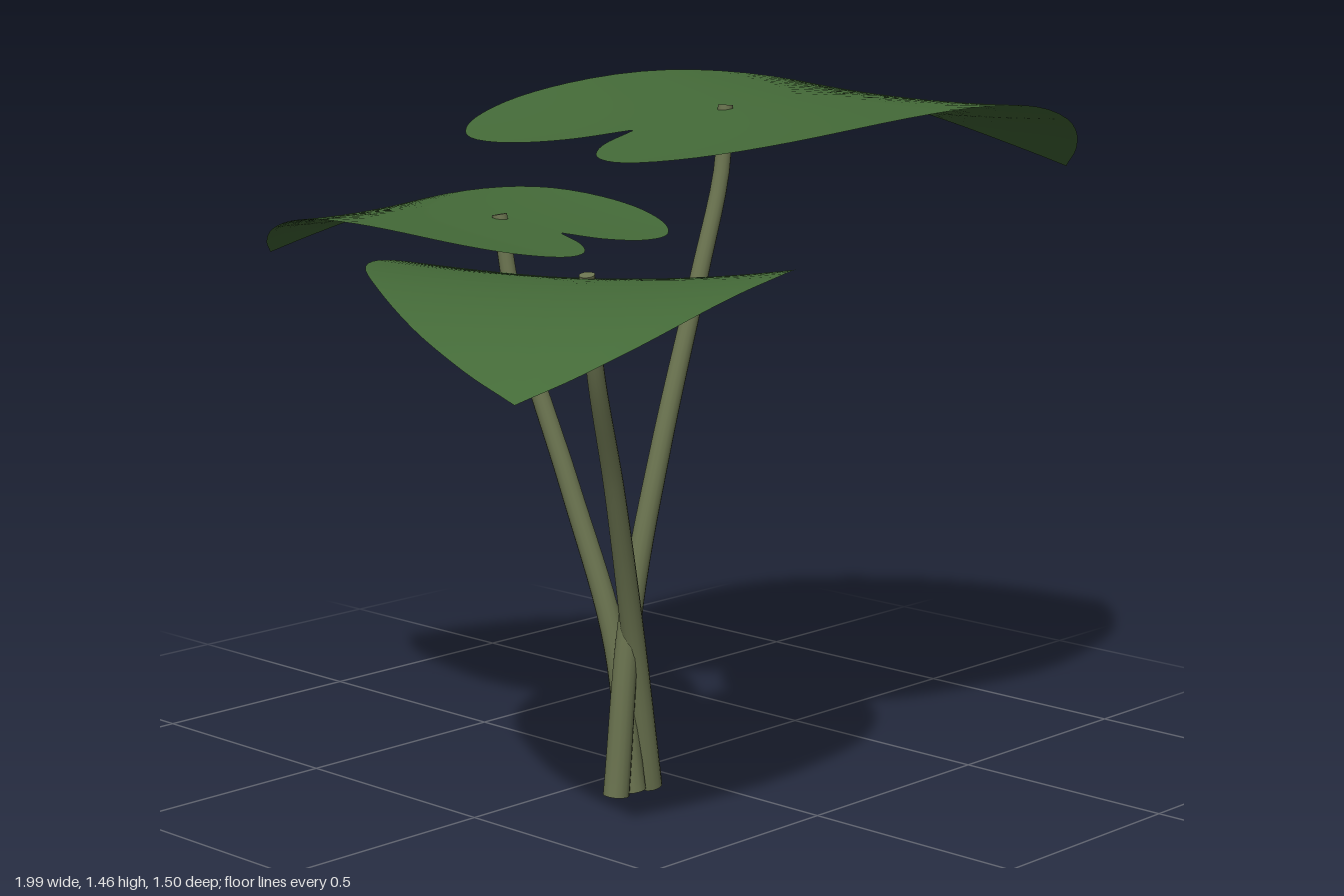
import * as THREE from 'three';

const leafGreen = new THREE.MeshStandardMaterial({ color: 0x446a38, side: THREE.DoubleSide });
leafGreen.name = 'leafGreen';
const stalkOlive = new THREE.MeshStandardMaterial({ color: 0x6b7450 });
stalkOlive.name = 'stalkOlive';

// Half outline of the heart, notch to tip; x runs along the midrib, the stalk joins at 0,0
const half = [
  [-0.233, 0.004], [-0.344, 0.065], [-0.425, 0.17], [-0.44, 0.29], [-0.365, 0.42],
  [-0.215, 0.52], [-0.03, 0.56], [0.23, 0.548], [0.45, 0.46], [0.67, 0.315], [0.83, 0.147], [0.93, 0],
];

function heartOutline() {
  const curve = new THREE.CatmullRomCurve3(half.map(([u, v]) => new THREE.Vector3(u, 0, v)));
  const side = curve.getPoints(44);
  const other = side.slice(0, -1).reverse().map((p) => new THREE.Vector3(p.x, 0, -p.z));
  return [...side, ...other];
}

// Rings shrink from the outline to the stalk joint; the blade droops to the tip and cups at the sides
function leafGeometry(cup) {
  const outline = heartOutline();
  const n = outline.length;
  const rings = 14;
  const pos = [];
  const index = [];
  for (let r = 0; r <= rings; r++) {
    for (const p of outline) {
      const u = p.x * r / rings;
      const v = p.z * r / rings;
      pos.push(u, 0.1135 * u - 0.1565 * u * u - 0.181 * u ** 3 + cup * v * v, v);
    }
  }
  for (let r = 0; r < rings; r++) {
    for (let i = 0; i < n; i++) {
      const j = (i + 1) % n;
      const a = r * n + i, b = r * n + j, c = a + n, d = b + n;
      if (r > 0) index.push(a, b, c);
      index.push(b, d, c);
    }
  }
  // Normals should face up
  const geo = new THREE.BufferGeometry();
  geo.setAttribute('position', new THREE.Float32BufferAttribute(pos, 3));
  geo.setIndex(index);
  geo.computeVertexNormals();
  if (geo.attributes.normal.getY(5 * n + 20) < 0) {
    geo.setIndex(index.reverse());
    geo.computeVertexNormals();
  }
  // The innermost ring is a single point, so it needs one shared normal
  for (let i = 0; i < n; i++) geo.attributes.normal.setXYZ(i, -0.11, 0.99, 0);
  return geo;
}

// Tapered tube with closed ends
function stalk(points, name) {
  const group = new THREE.Group();
  group.name = name;
  const curve = new THREE.CatmullRomCurve3(points.map((p) => new THREE.Vector3(...p)));
  const steps = 32, sides = 14, bottom = 0.028, top = 0.016;
  const geo = new THREE.TubeGeometry(curve, steps, bottom, sides);
  const pos = geo.attributes.position;
  const v = new THREE.Vector3();
  for (let i = 0; i <= steps; i++) {
    const centre = curve.getPointAt(i / steps);
    const scale = THREE.MathUtils.lerp(1, top / bottom, i / steps);
    for (let k = 0; k <= sides; k++) {
      const id = i * (sides + 1) + k;
      v.fromBufferAttribute(pos, id).sub(centre).multiplyScalar(scale).add(centre);
      pos.setXYZ(id, v.x, Math.max(v.y, 0), v.z);
    }
  }
  const tube = new THREE.Mesh(geo, stalkOlive);
  tube.name = 'stalkTube';
  group.add(tube);
  for (const [t, radius, sign] of [[0, bottom, -1], [1, top, 1]]) {
    const cap = new THREE.Mesh(new THREE.CircleGeometry(radius, sides), stalkOlive);
    cap.name = 'stalkEnd';
    cap.position.copy(curve.getPointAt(t));
    const dir = curve.getTangentAt(t).multiplyScalar(sign);
    cap.quaternion.setFromUnitVectors(new THREE.Vector3(0, 0, 1), dir);
    group.add(cap);
  }
  return group;
}

const plants = [
  {
    name: 'large', joint: [0.08, 1.43, 0.16], tip: [0.99, 0.36], cup: 0.06,
    path: [[-0.2, 0.005, 0.115], [-0.165, 0.4, 0.125], [-0.09, 0.75, 0.142], [0.01, 1.1, 0.156], [0.065, 1.3, 0.163], [0.08, 1.438, 0.16]],
  },
  {
    name: 'right', joint: [-0.44, 1.14, 0.27], tip: [-1.0, 0.65], cup: 0.12,
    path: [[-0.1, 0.005, 0.115], [-0.17, 0.35, 0.135], [-0.28, 0.68, 0.19], [-0.395, 0.95, 0.25], [-0.44, 1.148, 0.272]],
  },
  {
    name: 'back', joint: [-0.26, 1.205, -0.16], tip: [-0.39, -0.75], cup: 0.06,
    path: [[-0.15, 0.005, 0.115], [-0.17, 0.33, 0.08], [-0.205, 0.65, -0.015], [-0.248, 1.0, -0.125], [-0.26, 1.213, -0.163]],
  },
];

export function createModel() {
  const model = new THREE.Group();
  model.name = 'heartLeafPlant';
  for (const { name, joint, tip, cup, path } of plants) {
    const leaf = new THREE.Mesh(leafGeometry(cup), leafGreen);
    leaf.name = name + 'Leaf';
    const dx = tip[0] - joint[0];
    const dz = tip[1] - joint[2];
    leaf.position.set(...joint);
    leaf.rotation.y = Math.atan2(-dz, dx);
    leaf.scale.setScalar(Math.hypot(dx, dz) / 0.93);
    model.add(leaf, stalk(path, name + 'Stalk'));
  }
  return model;
}
